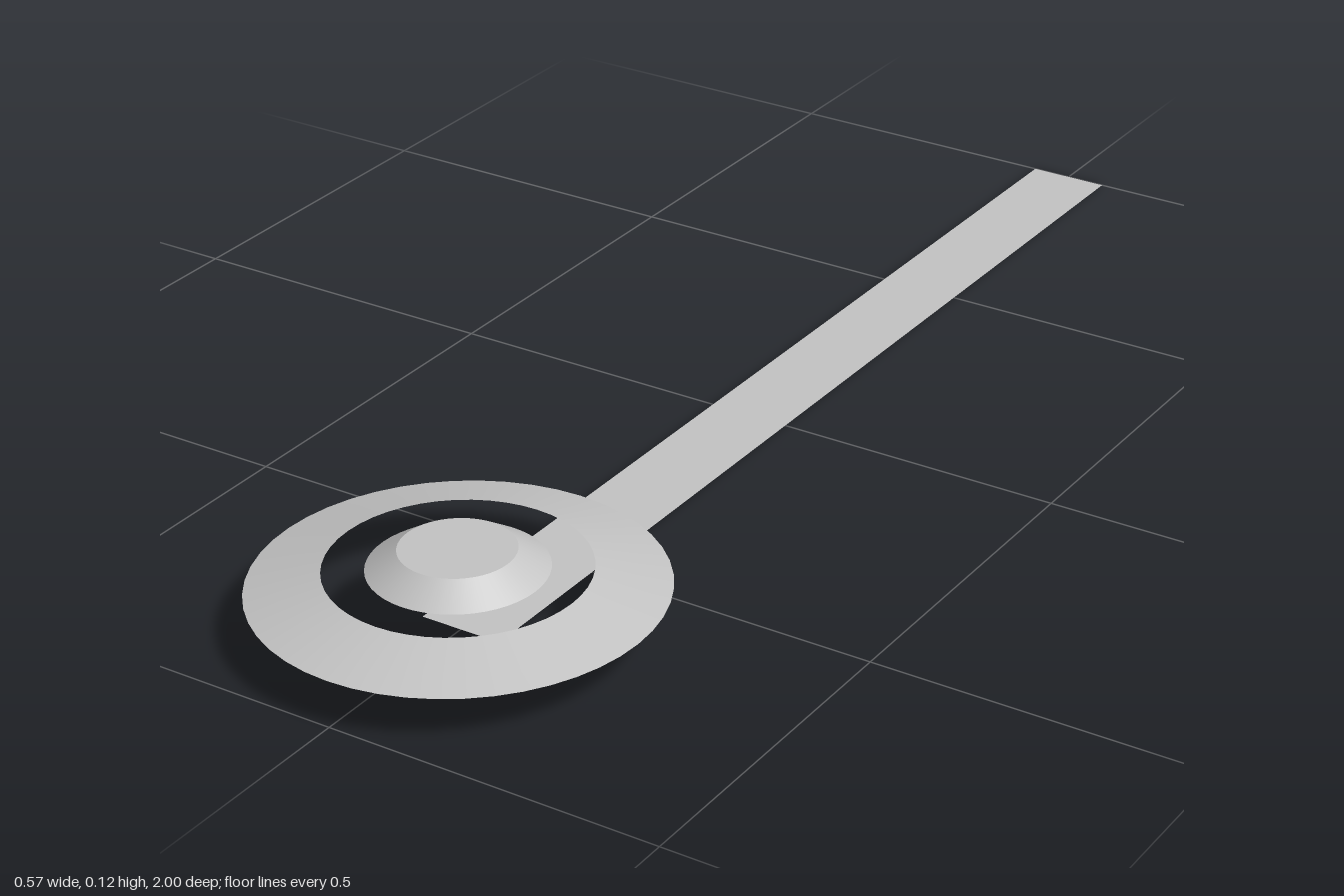
import * as THREE from 'three';

export function createModel() {
  const group = new THREE.Group();
  const grey = new THREE.MeshStandardMaterial({ color: 0xc4c4c4, side: THREE.DoubleSide });
  grey.name = 'light grey';

  const segments = 48;
  const centreZ = 0.717;

  const add = (name, geometry, y, z) => {
    const mesh = new THREE.Mesh(geometry, grey);
    mesh.name = name;
    mesh.position.set(0, y, z);
    group.add(mesh);
  };
  // Open sloping band between two radii
  const band = (top, bottom, height) =>
    new THREE.CylinderGeometry(top, bottom, height, segments, 1, true);

  // Outer sloping ring
  add('outerRing', band(0.18, 0.283, 0.027), 0.0825, centreZ);

  // Raised hub, open underneath: sloping wall and flat cap
  add('hubWall', band(0.08, 0.123, 0.028), 0.11, centreZ);
  add('hubCap', new THREE.CircleGeometry(0.08, segments).rotateX(-Math.PI / 2), 0.124, centreZ);

  // Flat strip on the ground, running from the back to under the hub centre
  const length = 1 + centreZ;
  add('strip', new THREE.PlaneGeometry(0.125, length).rotateX(-Math.PI / 2), 0, -1 + length / 2);

  return group;
}
